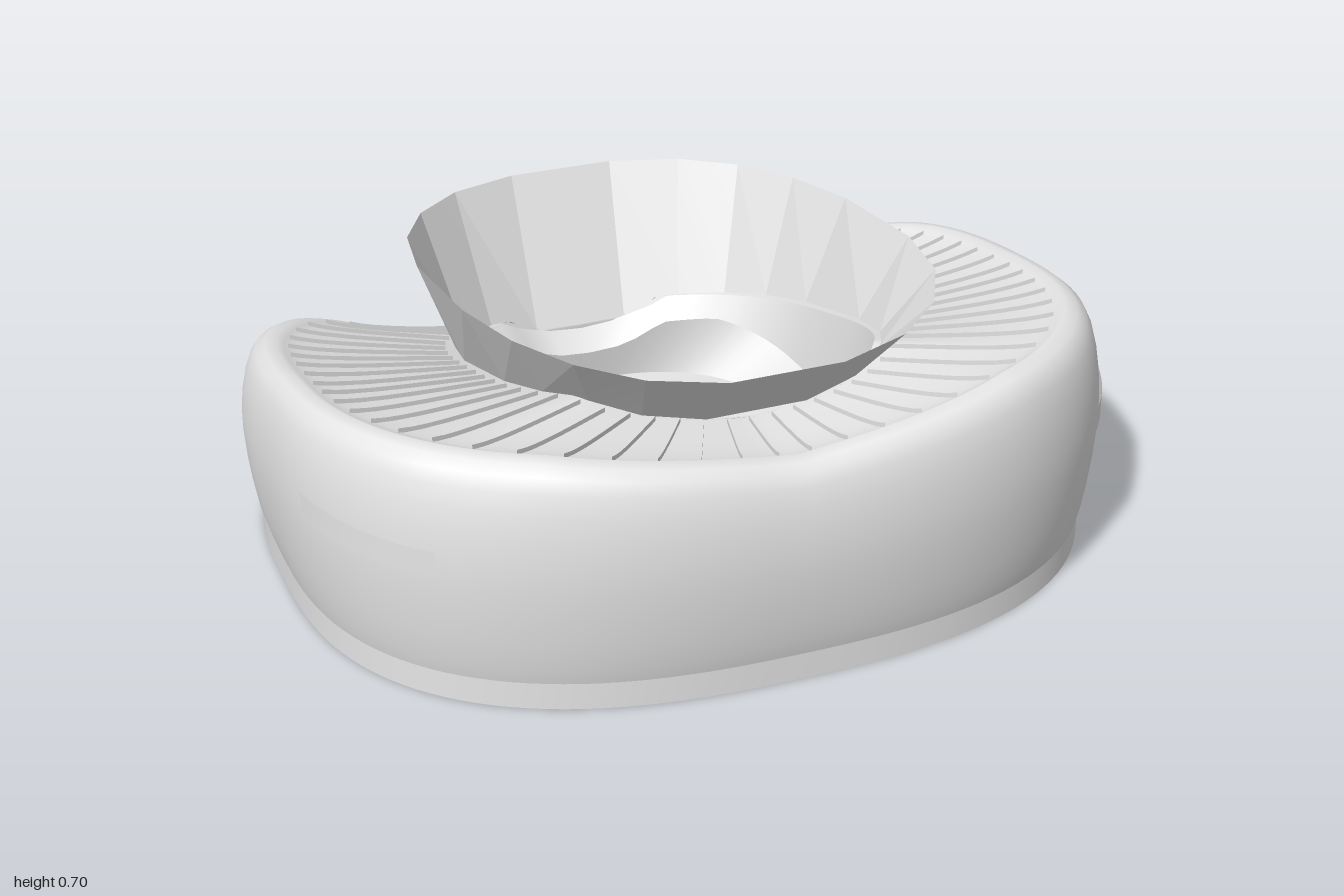
import * as THREE from 'three';
import { mergeGeometries, toCreasedNormals } from 'three/addons/utils/BufferGeometryUtils.js';

const V = (x, y, z) => new THREE.Vector3(x, y, z);
const { smoothstep } = THREE.MathUtils;
const TAU = Math.PI * 2;
const signedPow = (v, e) => Math.sign(v) * Math.abs(v) ** e;

// Point on a rounded-rectangle outline; t = 0 is +x, t = PI/2 is the front
function outline(t, a, front, back, n, m, cx = 0, cz = 0) {
  const c = Math.cos(t), s = Math.sin(t), e = 2 / (s > 0 ? n : m);
  return V(cx + a * signedPow(c, e), 0, cz + (s > 0 ? front : back) * signedPow(s, e));
}
const FRONT = 2.53; // roundness of the front corners
const shellAt = (t, d) => outline(t, 1 - d, 0.835 - d, 0.777 - d, FRONT, 3.1);
const openingAt = (t) => outline(t, 0.455, 0.595, 0.595, 2.8, 2.8, 0.01, -0.095);
const throatAt = (t) => outline(t, 0.405, 0.535, 0.535, 2.8, 2.8, 0.015, -0.098);
const collarAt = (t) => outline(t, 0.563, 0.752, 0.752, 2.6, 2.6, 0.015, -0.095);
const tierAt = (t) => outline(t, 0.7, 0.64, 0.64, 2.6, 2.8, 0.015, -0.05);
const pitchAt = (t) => outline(t, 0.47, 0.62, 0.62, 2.8, 2.8, 0.015, -0.095);

// Shallow V in the middle of the front
const frontDip = (x, z, half) => Math.max(0, 1 - Math.abs(x) / half) * smoothstep(z, 0.1, 0.45);

// Rim height: high at the front corners, swooping down at the back
function rimHeight(t) {
  const { x, z } = shellAt(t, 0);
  if (z > 0) return 0.535 + 0.063 * Math.sin(Math.min(1, z / 0.7) * Math.PI / 2) - 0.062 * frontDip(x, z, 0.6);
  const w = -z / 0.777;
  return 0.535 - 0.12 * w - 0.215 * w ** 8;
}
function openingPoint(t) {
  const p = openingAt(t);
  p.y = Math.min(0.45 + 0.3 * p.z, 0.575 - 0.07 * frontDip(p.x, p.z, 0.6), rimHeight(t) - 0.015);
  return p;
}
// Roof from rim (s = 0) to opening (s = 1), sagging slightly behind the rim
function roofPoint(t, s) {
  const p = shellAt(t, 0.09);
  p.y = rimHeight(t);
  p.lerp(openingPoint(t), s);
  p.y -= 0.015 * Math.sin(Math.PI * Math.sqrt(Math.min(s, 1)));
  return p;
}

// Skin between rows; each row is a function of the angle
function loft(rows, segments, from = 0, to = TAU) {
  const closed = to - from > 6.28, cols = closed ? segments : segments + 1;
  const pos = [], idx = [];
  for (const row of rows)
    for (let i = 0; i < cols; i++) pos.push(...row(from + (to - from) * i / segments).toArray());
  for (let r = 0; r < rows.length - 1; r++)
    for (let i = 0; i < segments; i++) {
      const j = (i + 1) % cols, a = r * cols + i, b = r * cols + j;
      idx.push(a, a + cols, b, b, a + cols, b + cols);
    }
  const g = new THREE.BufferGeometry();
  g.setAttribute('position', new THREE.Float32BufferAttribute(pos, 3));
  g.setIndex(idx);
  g.computeVertexNormals();
  return g;
}

// Facade row: inset d at fraction f between plinth and rim
const facadeRow = (d, f) => (t) => {
  const p = shellAt(t, d);
  p.y = 0.065 + f * (rimHeight(t) - 0.065);
  return p;
};

export function createModel() {
  const group = new THREE.Group();
  const concrete = new THREE.MeshStandardMaterial({ color: 0xe6e6e6, side: THREE.DoubleSide });
  concrete.name = 'light grey';
  const add = (name, geometry) => {
    const mesh = new THREE.Mesh(geometry, concrete);
    mesh.name = name;
    group.add(mesh);
  };

  // Straight plinth under the bulging wall
  const atHeight = (d, y) => (t) => shellAt(t, d).setY(y);
  add('plinth', loft([atHeight(0.031, 0), atHeight(0.031, 0.065)], 128));

  // Bulging facade, rounded rim and roof running just past the opening
  const profile = [[0.031, 0], [0.021, 0.08], [0.012, 0.2], [0.005, 0.33], [0.001, 0.46], [0.001, 0.58],
    [0.006, 0.7], [0.014, 0.8], [0.026, 0.89], [0.041, 0.95], [0.062, 0.985], [0.09, 1]];
  const rows = profile.map(([d, f]) => facadeRow(d, f));
  for (const s of [0.04, 0.1, 0.2, 0.35, 0.5, 0.7, 0.85, 1, 1.04]) rows.push((t) => roofPoint(t, s));
  add('facadeAndRoof', loft(rows, 128));

  // Thin radial ribs standing on the roof, evenly fanned
  const ribs = [];
  const count = 60;
  for (let i = 0; i < count; i++) {
    const fan = (i + 0.5) / count * TAU;
    const t = Math.atan2(signedPow(Math.sin(fan), 1.35), signedPow(Math.cos(fan), 1.35));
    const along = (lift) => (s) => roofPoint(t, s).add(V(0, lift, 0));
    ribs.push(loft([along(-0.003), along(0.011)], 10, 0.06, 0.94));
  }
  add('roofRibs', mergeGeometries(ribs));

  // Faceted collar flaring up out of the opening
  const collarTop = (t) => {
    const p = collarAt(t);
    p.y = 0.575 + 0.13 * smoothstep(p.z, -0.95, 0.5) - 0.028 * frontDip(p.x, p.z, 0.45);
    return p;
  };
  const half = Math.PI / 20;
  add('collar', toCreasedNormals(loft([openingPoint, collarTop], 20, half, TAU + half), 0.05));

  // Throat hanging from the opening over the stands
  const throatEnd = (t) => throatAt(t).setY(Math.min(0.23, openingPoint(t).y - 0.05));
  add('throat', loft([openingPoint, throatEnd], 64));

  // Lower stand sloping from a wide ring to the pitch
  const floor = 0.012;
  const tierTop = (t) => tierAt(t).setY(0.2);
  const pitchEdge = (t) => pitchAt(t).setY(floor);
  add('lowerStand', loft([tierTop, pitchEdge], 64));

  // Flat pitch closing the bowl
  add('pitch', loft([pitchEdge, () => V(0.015, floor, -0.095)], 64));

  // Long thin panels on both flanks, following the wall
  const panelRow = (side, y) => (z) => {
    const x = Math.max(0, 1 - (z / 0.835) ** FRONT) ** (1 / FRONT);
    return V(side * (x + 0.004), y, z + 0.002);
  };
  for (const side of [1, -1])
    add(side > 0 ? 'leftPanel' : 'rightPanel',
      loft([panelRow(side, 0.36 - side * 0.03), panelRow(side, 0.36 + side * 0.03)], 12, 0.26, 0.62));

  return group;
}
